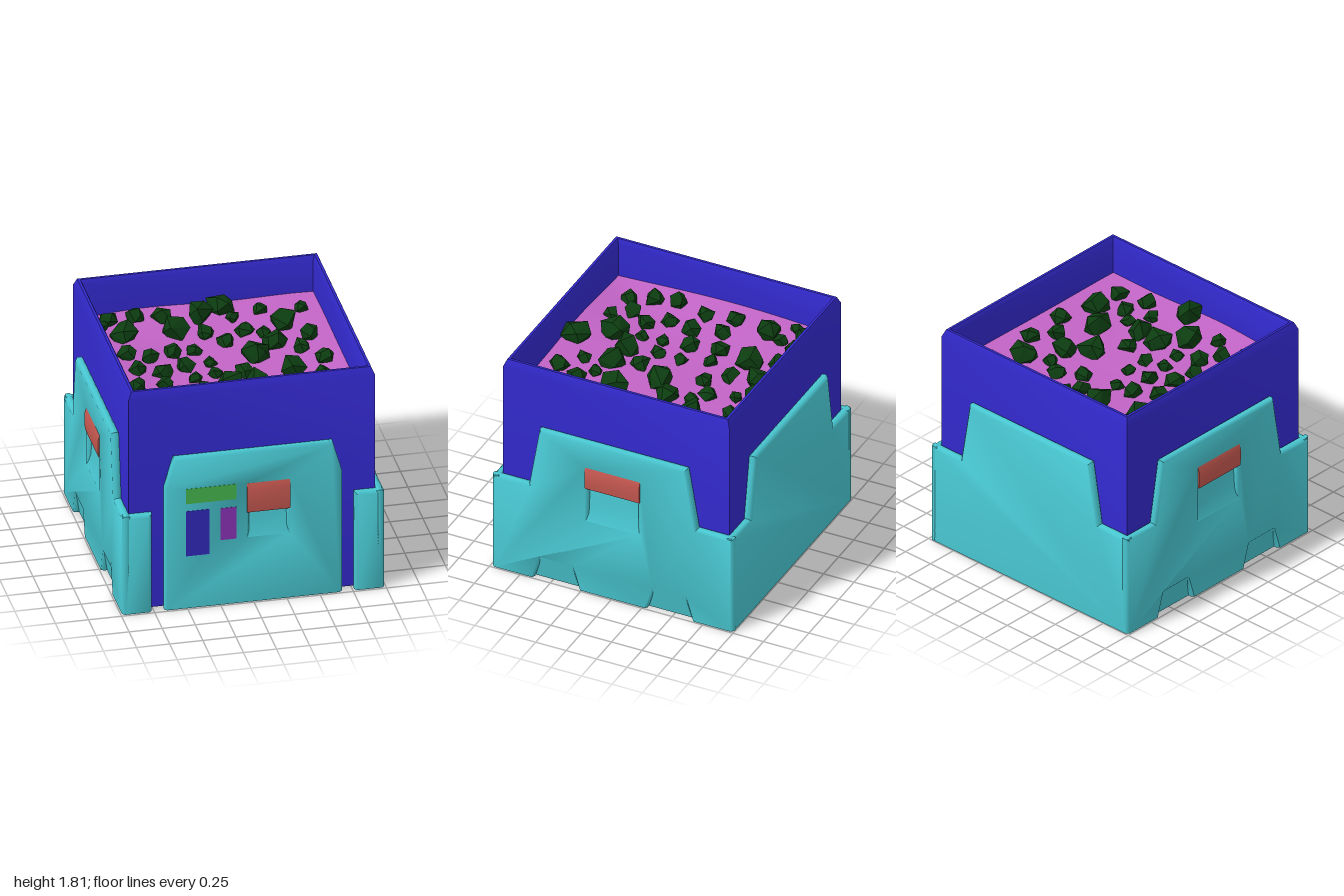
import * as THREE from 'three';
import { toCreasedNormals } from 'three/addons/utils/BufferGeometryUtils.js';
import { ConvexGeometry } from 'three/addons/geometries/ConvexGeometry.js';

const mat = (color, extra = {}) => new THREE.MeshStandardMaterial({ color, ...extra });
const BLUE = mat(0x3128c8, { side: THREE.DoubleSide });
const TEAL = mat(0x48c6d0);
const RED = mat(0xc4574f);
const PINK = mat(0xc264c6, { side: THREE.DoubleSide });
const ROCK = mat(0x0c3c10, { flatShading: true });

const toShape = pts => new THREE.Shape(pts.map(p => new THREE.Vector2(...p)));
const rect = (x0, x1, y0, y1) => [[x0, y0], [x1, y0], [x1, y1], [x0, y1]];

function add(parent, name, geometry, material) {
  const mesh = new THREE.Mesh(geometry, material);
  mesh.name = name;
  parent.add(mesh);
  return mesh;
}

// Plate with softened edges and a flat foot, its outer face at z = 0.99
const BEVEL = 0.02;
function plate(pts, hole) {
  const shape = toShape(pts);
  if (hole) {
    const [x0, x1, y0, y1] = hole;
    shape.holes.push(new THREE.Path(
      rect(x0 + BEVEL, x1 - BEVEL, y0 + BEVEL, y1 - BEVEL).map(p => new THREE.Vector2(...p))));
  }
  const g = new THREE.ExtrudeGeometry(shape, {
    depth: 0.03, bevelEnabled: true, bevelSegments: 1,
    bevelSize: BEVEL, bevelThickness: BEVEL, bevelOffset: -BEVEL,
  });
  const p = g.attributes.position;
  for (let i = 0; i < p.count; i++) if (p.getY(i) < BEVEL + 0.001) p.setY(i, 0);
  return toCreasedNormals(g.translate(0, 0, 0.94), 0.9);
}

// Extrudes a (z, y) profile sideways between x0 and x1
function prism(profile, x0, x1) {
  const g = new THREE.ExtrudeGeometry(toShape(profile), { depth: x1 - x0, bevelEnabled: false });
  return toCreasedNormals(g.rotateY(-Math.PI / 2).translate(x1, 0, 0), 0.7);
}

// Scooped pocket with a flap over its upper part
function pocket(parent, x0, x1, bottom, split, top) {
  add(parent, 'pocketFloor', prism([
    [0.925, bottom], [0.986, bottom], [0.958, bottom + 0.09], [0.945, split], [0.925, split],
  ], x0, x1), TEAL);
  add(parent, 'pocketFlap', prism([
    [0.93, split], [0.998, split], [1.003, split + 0.05], [1.002, top - 0.04],
    [0.988, top], [0.93, top],
  ], x0, x1), RED);
}

// Seeded random numbers for the rocks
let seed = 7;
const rand = () => (seed = (seed * 16807) % 2147483647) / 2147483647;

// Soil lies a little higher along the walls than in the middle
const groundHeight = (x, z) =>
  1.46 + 0.08 * Math.max(x * x, z * z) - 0.03 * x * x * z * z + 0.01 * Math.sin(5 * x + 3 * z);

function rockGeometry(r) {
  const pts = [];
  for (let i = 0; i < 11; i++) {
    const y = 1 - (2 * (i + 0.5)) / 11, a = i * 2.4 + rand() * 0.7;
    const k = r * (0.8 + 0.4 * rand()), s = Math.sqrt(1 - y * y);
    pts.push(new THREE.Vector3(k * s * Math.cos(a), k * y * 0.9, k * s * Math.sin(a)));
  }
  return new ConvexGeometry(pts);
}

// Stepped upper outline shared by the side and back cladding, right to left
const stepped = w => [[w, 0], [w, 0.815], [0.69, 0.815], [0.605, 1.32],
  [-0.605, 1.32], [-0.69, 0.815], [-w, 0.815], [-w, 0]];

export function createModel() {
  const model = new THREE.Group();
  model.name = 'planterBox';
  const body = new THREE.Group();
  body.name = 'body';
  body.position.z = -0.005;
  model.add(body);

  // Square bin, hollow above and recessed below
  const profile = [[0, 0.27], [0.92, 0.27], [0.92, 0.01], [0.93, 0.01], [0.93, 1.75],
    [0.905, 1.81], [0.885, 1.81], [0.87, 1.78], [0.87, 1.4]]
    .map(([r, y]) => new THREE.Vector2(r * Math.SQRT2, y));
  const bin = new THREE.LatheGeometry(profile, 4).rotateY(Math.PI / 4);
  add(body, 'bin', toCreasedNormals(bin, 0.5), BLUE);

  // Uneven soil
  const soil = new THREE.PlaneGeometry(1.74, 1.74, 12, 12).rotateX(-Math.PI / 2);
  const p = soil.attributes.position;
  for (let i = 0; i < p.count; i++) p.setY(i, groundHeight(p.getX(i), p.getZ(i)));
  soil.computeVertexNormals();
  add(body, 'soil', soil, PINK);

  // Rocks by size, as [x, z]
  const rocks = [
    [0.11, [[-.65, -.47], [-.26, -.52], [.15, -.77], [-.03, -.69], [.55, -.43], [.41, -.16], [.25, -.02],
      [.46, .24], [.66, .45], [.17, .41], [-.04, .37], [-.17, .55], [.03, .77]]],
    [0.077, [[-.7, -.74], [-.5, -.75], [-.31, -.72], [-.04, -.45], [.25, -.42], [.09, -.31], [-.34, -.22],
      [-.53, -.15], [-.69, -.19], [-.66, .04], [-.48, .08], [-.3, 0], [.69, -.22], [.73, .14], [.1, .21],
      [-.7, .48], [-.73, .3], [.64, .68], [.4, .73], [-.4, .42], [-.5, .26], [.6, -.04], [-.5, .56],
      [.46, .56], [-.63, .66]]],
    [0.06, [[-.77, -.65], [-.59, -.61], [.2, -.63], [.43, -.68], [.72, -.63], [.38, -.34], [-.18, -.23],
      [-.1, -.02], [-.1, .16], [-.26, .2], [-.24, .36], [.34, .46], [.23, .6], [-.36, .68]]],
  ];
  for (const [r, spots] of rocks) {
    for (const [x, z] of spots) {
      const rock = add(body, 'rock', rockGeometry(r), ROCK);
      rock.position.set(x, groundHeight(x, z) + r * 0.35, z);
      rock.rotation.y = rand() * 6.28;
    }
  }

  // Side cladding with pocket and two sloped undercuts
  const notches = [[-0.65, 0], [-0.59, 0.18], [-0.34, 0.18], [-0.28, 0],
    [0.28, 0], [0.34, 0.18], [0.59, 0.18], [0.65, 0]];
  for (const s of [-1, 1]) {
    const side = new THREE.Group();
    side.name = s > 0 ? 'leftSide' : 'rightSide';
    side.rotation.y = s * Math.PI / 2;
    body.add(side);
    add(side, 'sideCladding', plate([...stepped(0.99), ...notches], [-0.225, 0.225, 0.63, 1.1]), TEAL);
    pocket(side, -0.225, 0.225, 0.63, 0.92, 1.1);
    for (const c of [-0.465, 0.465]) {
      add(side, 'undercut', prism([[0.925, 0], [0.945, 0], [0.985, 0.2], [0.925, 0.2]],
        c - 0.2, c + 0.2), TEAL);
    }
  }

  // Back cladding
  add(body, 'backCladding', plate(stepped(0.983)), TEAL).rotation.y = Math.PI;

  // Front panel, corner posts and pocket
  const front = new THREE.Group();
  front.name = 'front';
  body.add(front);
  add(front, 'frontPanel', plate([[-0.67, 0], [0.67, 0], [0.67, 1.01], [0.6, 1.258],
    [-0.6, 1.258], [-0.67, 1.01]], [-0.05, 0.275, 0.54, 0.99]), TEAL);
  add(front, 'leftCornerPost', plate(rect(0.765, 0.983, 0, 0.813)), TEAL);
  add(front, 'rightCornerPost', plate(rect(-0.983, -0.765, 0, 0.813)), TEAL);
  pocket(front, -0.05, 0.275, 0.54, 0.75, 0.99);

  // Flat coloured plates on the front panel
  for (const [name, color, x0, x1, y0, y1] of [
    ['greenPlate', 0x43b34c, -0.51, -0.13, 0.87, 0.995],
    ['bluePlate', 0x2f28b8, -0.51, -0.335, 0.435, 0.81],
    ['purplePlate', 0x8832b4, -0.25, -0.13, 0.54, 0.805],
  ]) {
    const g = new THREE.BoxGeometry(x1 - x0, y1 - y0, 0.02);
    add(front, name, g, mat(color)).position.set((x0 + x1) / 2, (y0 + y1) / 2, 0.982);
  }
  return model;
}
